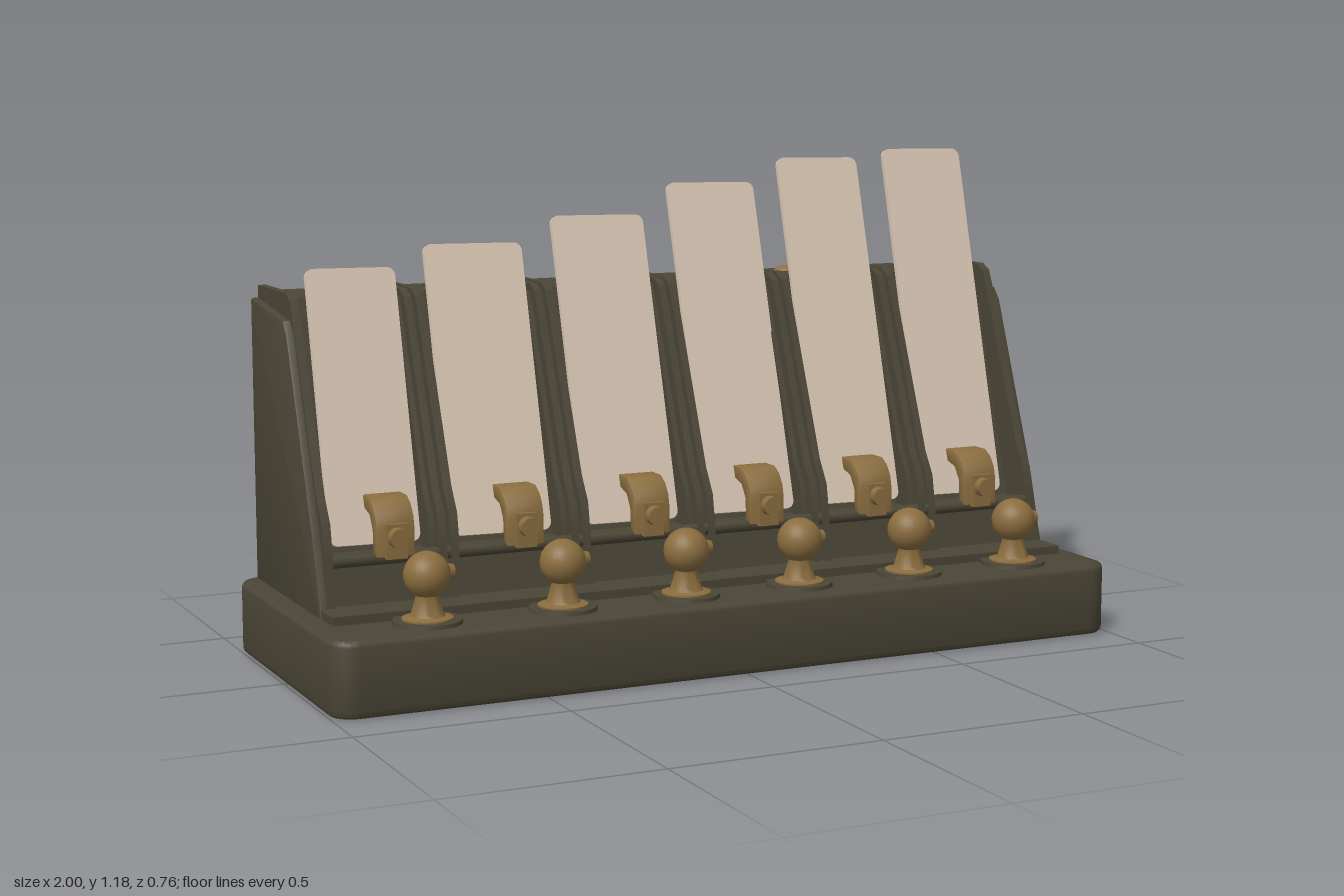
import * as THREE from 'three';
import { toCreasedNormals } from 'three/addons/utils/BufferGeometryUtils.js';

const mat = (name, color) => {
  const m = new THREE.MeshStandardMaterial({ color });
  m.name = name;
  return m;
};

export function createModel() {
  const model = new THREE.Group();
  const dark = mat('dark olive casing', 0x4a4536);
  const brass = mat('aged brass', 0x8a6d3f);
  const ivory = mat('ivory card', 0xd6c4b2);

  const add = (name, geo, material, x = 0, y = 0, z = 0, parent = model) => {
    const m = new THREE.Mesh(geo, material);
    m.name = name;
    m.position.set(x, y, z);
    parent.add(m);
    return m;
  };
  const roundRect = (w, h, r) => {
    const s = new THREE.Shape(), a = w / 2, b = h / 2;
    s.absarc(a - r, b - r, r, 0, Math.PI / 2);
    s.absarc(-a + r, b - r, r, Math.PI / 2, Math.PI);
    s.absarc(-a + r, -b + r, r, Math.PI, Math.PI * 1.5);
    s.absarc(a - r, -b + r, r, Math.PI * 1.5, Math.PI * 2);
    return s;
  };
  // Side profile of [z, y] points, extruded along x and centred
  const slab = (points, width, bevel = 0) => {
    const shape = new THREE.Shape(points.map(([z, y]) => new THREE.Vector2(z, y)));
    const depth = width - 2 * bevel;
    const g = new THREE.ExtrudeGeometry(shape, {
      depth, bevelEnabled: bevel > 0, bevelSize: bevel, bevelOffset: -bevel,
      bevelThickness: bevel, bevelSegments: 2,
    });
    g.rotateY(-Math.PI / 2).translate(depth / 2, 0, 0);
    return toCreasedNormals(g, 0.6);
  };

  // Rounded plinth
  const plinth = new THREE.ExtrudeGeometry(roundRect(2, 0.76, 0.06), {
    depth: 0.145, bevelEnabled: true, bevelSize: 0.015, bevelOffset: -0.015,
    bevelThickness: 0.015, bevelSegments: 3, curveSegments: 8,
  });
  plinth.rotateX(-Math.PI / 2);
  add('plinth', toCreasedNormals(plinth, 0.6), dark, 0, 0.015, 0);
  add('deckStep', new THREE.BoxGeometry(1.9, 0.03, 0.34), dark, 0, 0.18, 0.05);

  // Casing core with the recessed sloping face behind the cards
  add('casingCore', slab([
    [0.125, 0.17], [0.1, 0.3], [0.03, 0.3], [-0.15, 0.867], [-0.36, 0.867], [-0.36, 0.17],
  ], 1.84), dark);
  add('frontRail', new THREE.CylinderGeometry(0.015, 0.015, 1.84, 10).rotateZ(Math.PI / 2),
    dark, 0, 0.295, 0.105);

  // End walls: full-height inner cheek and slightly lower outer cheek
  const cheek = [
    [0.142, 0.17], [0.13, 0.225], [0.12, 0.3], [0.105, 0.38], [0.07, 0.435],
    [-0.085, 0.82], [-0.105, 0.865], [-0.135, 0.88], [-0.36, 0.88], [-0.36, 0.17],
  ];
  const outer = [
    [0.142, 0.17], [0.125, 0.225], [0.085, 0.36], [-0.08, 0.79], [-0.105, 0.82],
    [-0.36, 0.85], [-0.36, 0.17],
  ];
  for (const s of [-1, 1]) {
    add('innerCheek', slab(cheek, 0.02), dark, s * 0.925, 0, 0);
    add('outerCheek', slab(outer, 0.035, 0.006), dark, s * 0.936, 0, 0);
  }

  // Dividers: paired ribs with a groove between them
  const web = cheek.map(([z, y]) => [z > -0.3 ? z - 0.03 : z, Math.min(y, 0.86)]);
  for (const x of [-0.638, -0.31, 0.015, 0.325, 0.625]) {
    const divider = new THREE.Group();
    divider.name = 'divider';
    divider.position.x = x;
    for (const s of [-1, 1]) {
      add('dividerRib', slab(cheek, 0.018), dark, s * 0.014, 0, 0, divider);
      add('dividerFlange', slab(web, 0.014), dark, s * 0.029, 0, 0, divider);
    }
    add('dividerWeb', slab(web, 0.02), dark, 0, 0, 0, divider);
    model.add(divider);
  }

  // Cards: left edge, right edge, top height, lean (run over rise)
  const cards = [
    [-0.9, -0.675, 0.93, 0.3], [-0.605, -0.35, 0.975, 0.31], [-0.27, -0.02, 1.03, 0.325],
    [0.05, 0.295, 1.1, 0.33], [0.358, 0.592, 1.155, 0.315], [0.657, 0.89, 1.172, 0.298],
  ];
  for (const [x0, x1, top, lean] of cards) {
    const tilt = Math.atan(lean), len = (top - 0.315) / Math.cos(tilt);
    const g = new THREE.ExtrudeGeometry(roundRect(x1 - x0 - 0.008, len, 0.02), {
      depth: 0.012, bevelEnabled: false, curveSegments: 5,
    });
    g.rotateZ(-0.015).translate(0, len / 2, 0).rotateX(-tilt);
    add('card', g, ivory, (x0 + x1) / 2, 0.315, 0.045);
  }

  // Arched brass catches holding the foot of each card
  const catchProfile = [
    [0.03, 0.43], [0.075, 0.43], [0.1, 0.415], [0.118, 0.39], [0.125, 0.36],
    [0.125, 0.3], [0.1, 0.3], [0.095, 0.36], [0.075, 0.39], [0.04, 0.4],
  ];
  for (const x of [-0.768, -0.452, -0.13, 0.175, 0.475, 0.775]) {
    const clip = new THREE.Group();
    clip.name = 'catch';
    clip.position.x = x;
    add('catchArch', slab(catchProfile, 0.092, 0.004), brass, 0, 0, 0, clip);
    add('catchTongue', new THREE.BoxGeometry(0.05, 0.08, 0.02), brass, 0, 0.335, 0.125, clip);
    add('catchPin', new THREE.CylinderGeometry(0.022, 0.026, 0.05, 16).rotateX(Math.PI / 2),
      brass, 0, 0.345, 0.13, clip);
    model.add(clip);
  }

  // Turned knobs along the front deck
  const stem = new THREE.LatheGeometry([
    [0, 0.17], [0.058, 0.17], [0.058, 0.188], [0.04, 0.192], [0.036, 0.2],
    [0.026, 0.235], [0.03, 0.255], [0, 0.26],
  ].map(([r, y]) => new THREE.Vector2(r, y)), 24);
  const knobStem = toCreasedNormals(stem, 0.7);
  const ball = new THREE.SphereGeometry(0.053, 24, 16);
  const boss = new THREE.CylinderGeometry(0.016, 0.02, 0.02, 14);
  for (const x of [-0.748, -0.422, -0.112, 0.185, 0.485, 0.78]) {
    const knob = new THREE.Group();
    knob.name = 'knob';
    knob.position.set(x, 0, 0.272);
    add('knobFoot', new THREE.CylinderGeometry(0.078, 0.08, 0.012, 24), dark, 0, 0.178, 0, knob);
    add('knobStem', knobStem, brass, 0, 0, 0, knob);
    add('knobBall', ball, brass, 0, 0.284, 0, knob);
    add('knobBoss', boss, brass, 0.052, 0.287, 0, knob).rotation.z = -Math.PI / 2;
    model.add(knob);
  }

  // Screw heads on the top
  for (const x of [-0.452, 0.443]) {
    const screw = add('topScrew', new THREE.SphereGeometry(0.03, 18, 8, 0, Math.PI * 2, 0, Math.PI / 2),
      brass, x, 0.866, -0.3);
    screw.scale.y = 0.45;
  }
  return model;
}
